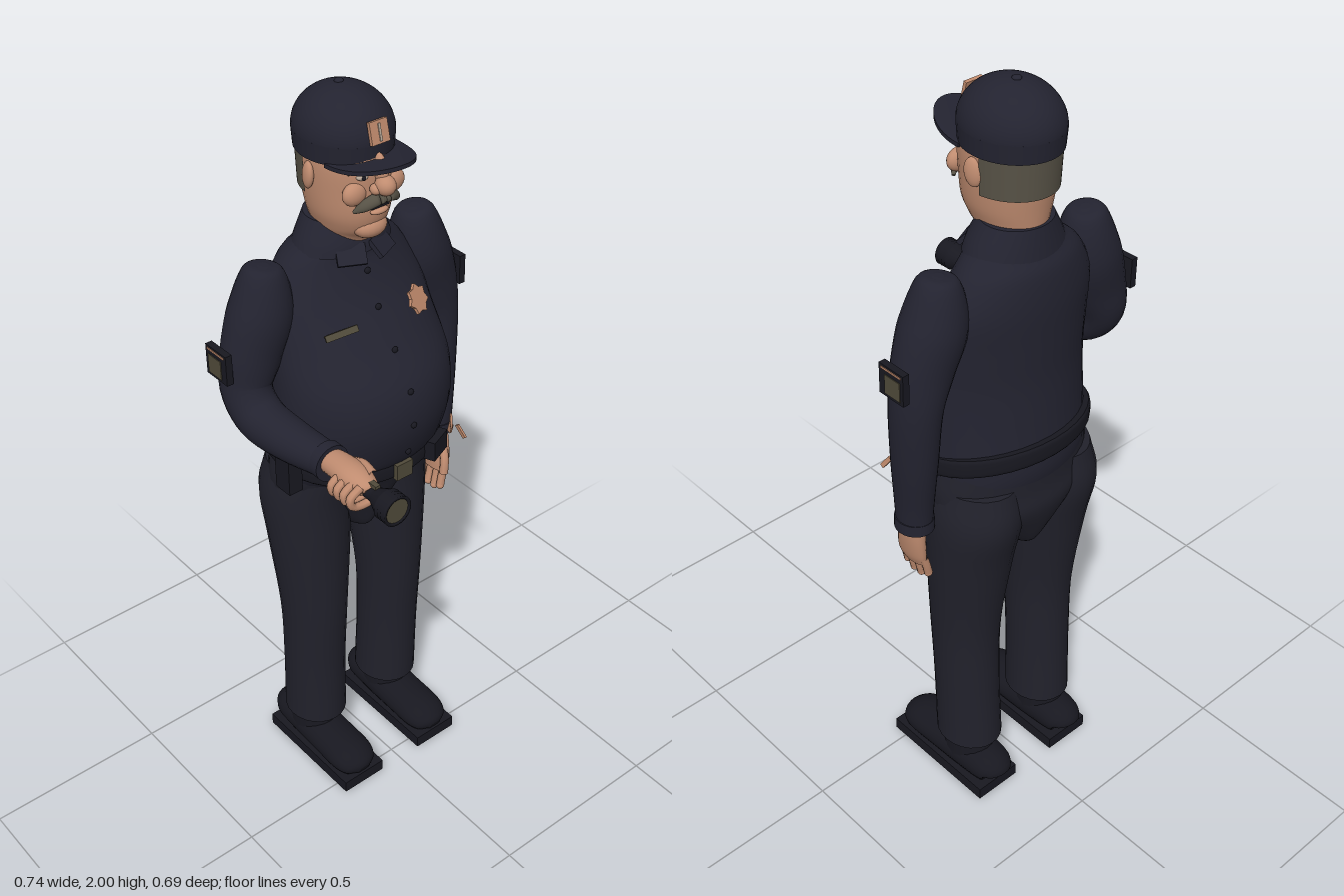
import * as THREE from 'three';

const mat = (name, color, side = THREE.FrontSide) => {
  const m = new THREE.MeshStandardMaterial({ color, side });
  m.name = name;
  return m;
};

// Smooth closed tube through sections [x, y, z, halfWidth, halfDepth]; level keeps rings horizontal
function loft(sections, { level = false, steps = 5, sides = 24 } = {}) {
  const centre = new THREE.CatmullRomCurve3(sections.map(s => new THREE.Vector3(s[0], s[1], s[2])), false, 'catmullrom', 0.5);
  const size = new THREE.CatmullRomCurve3(sections.map(s => new THREE.Vector3(s[3], s[4], 0)), false, 'catmullrom', 0.5);
  const n = (sections.length - 1) * steps, pos = [], idx = [];
  const up = Math.sign(sections[sections.length - 1][1] - sections[0][1]);
  const ring = i => {
    const c = centre.getPoint(i / n), r = size.getPoint(i / n);
    const t = level ? new THREE.Vector3(0, up, 0) : centre.getTangent(i / n);
    const u = new THREE.Vector3(1, 0, 0).addScaledVector(t, -t.x).normalize();
    const v = new THREE.Vector3().crossVectors(t, u);
    for (let j = 0; j < sides; j++) {
      const a = j / sides * Math.PI * 2;
      const p = c.clone().addScaledVector(u, r.x * Math.cos(a)).addScaledVector(v, r.y * Math.sin(a));
      pos.push(p.x, p.y, p.z);
    }
    return c;
  };
  for (let i = 0; i <= n; i++) ring(i);
  for (let i = 0; i < n; i++) for (let j = 0; j < sides; j++) {
    const a = i * sides + j, b = i * sides + (j + 1) % sides;
    idx.push(a, b, b + sides, a, b + sides, a + sides);
  }
  for (const end of [0, n]) {
    const start = pos.length / 3, c = ring(end);
    pos.push(c.x, c.y, c.z);
    for (let j = 0; j < sides; j++) {
      const a = start + j, b = start + (j + 1) % sides;
      idx.push(...(end ? [a, b, start + sides] : [b, a, start + sides]));
    }
  }
  const g = new THREE.BufferGeometry();
  g.setAttribute('position', new THREE.Float32BufferAttribute(pos, 3));
  g.setIndex(idx);
  g.computeVertexNormals();
  return g;
}
// Horizontal section from height, front z, back z and half width
const slice = ([y, front, back, w]) => [0, y, (front + back) / 2, w, (front - back) / 2];
const body = rows => loft(rows.map(slice), { level: true, sides: 36 });

export function createModel() {
  const model = new THREE.Group();
  const shirt = mat('shirt navy', 0x232330), trousers = mat('trouser navy', 0x21212b);
  const black = mat('leather black', 0x181820), skin = mat('skin', 0xc08c70);
  const gold = mat('badge copper', 0xc08a6c), olive = mat('olive metal', 0x504a3a);
  const hairMat = mat('grey hair', 0x575246, THREE.DoubleSide), white = mat('eye pale', 0xb8a898);
  const add = (name, geo, m, p = [0, 0, 0], rot = [0, 0, 0], scale = [1, 1, 1]) => {
    const mesh = new THREE.Mesh(geo, m);
    mesh.name = name;
    mesh.position.set(...p);
    mesh.rotation.set(...rot);
    mesh.scale.set(...scale);
    model.add(mesh);
    return mesh;
  };
  const box = (name, w, h, d, m, p, rot) => add(name, new THREE.BoxGeometry(w, h, d), m, p, rot);
  const ball = (name, rx, ry, rz, m, p, rot) => add(name, new THREE.SphereGeometry(1, 20, 14), m, p, rot, [rx, ry, rz]);
  const tube = (name, pts, r, m) => add(name, new THREE.TubeGeometry(
    new THREE.CatmullRomCurve3(pts.map(p => new THREE.Vector3(...p))), 14, r, 8), m);

  // Torso, collar and pelvis
  add('torso', body([[1, -0.03, -0.315, 0.222], [1.05, 0.02, -0.325, 0.23], [1.1, 0.055, -0.325, 0.235],
    [1.2, 0.083, -0.317, 0.238], [1.3, 0.07, -0.31, 0.235], [1.4, 0.005, -0.31, 0.225], [1.5, -0.06, -0.31, 0.212],
    [1.58, -0.095, -0.3, 0.17], [1.62, -0.1, -0.28, 0.125], [1.65, -0.11, -0.27, 0.095]]), shirt);
  add('collar', body([[1.61, -0.085, -0.285, 0.13], [1.64, -0.09, -0.28, 0.115], [1.685, -0.108, -0.272, 0.088]]), shirt);
  for (const s of [-1, 1]) box('collarPoint', 0.07, 0.012, 0.05, shirt, [s * 0.045, 1.615, -0.09], [0.9, s * 0.3, s * -0.35]);
  add('pelvis', body([[1.08, 0.01, -0.32, 0.228], [1, -0.025, -0.322, 0.232], [0.94, -0.05, -0.328, 0.215],
    [0.87, -0.07, -0.31, 0.13], [0.8, -0.09, -0.28, 0.05], [0.785, -0.12, -0.25, 0.02]]), trousers);
  [[1.12, 0.065], [1.21, 0.085], [1.3, 0.072], [1.39, 0.014], [1.48, -0.047], [1.56, -0.086]].forEach(([y, z]) =>
    ball('shirtButton', 0.008, 0.008, 0.006, black, [0, y, z]));

  // Belt, higher at the back than the front
  const belt = body([[1.065, 0.035, -0.338, 0.236], [1.075, 0.042, -0.343, 0.241], [1.105, 0.042, -0.343, 0.241], [1.115, 0.035, -0.338, 0.236]]);
  const bp = belt.attributes.position;
  for (let i = 0; i < bp.count; i++) bp.setY(i, bp.getY(i) - (bp.getZ(i) + 0.15) * 0.18);
  belt.computeVertexNormals();
  add('belt', belt, black);
  box('beltBuckle', 0.05, 0.045, 0.014, olive, [0, 1.055, 0.046]);
  box('beltPouch', 0.07, 0.055, 0.035, black, [0.12, 1.065, 0.027], [0, 0.4, 0]);
  box('beltPouch', 0.06, 0.05, 0.03, black, [-0.13, 1.065, 0.015], [0, -0.4, 0]);
  box('beltRadio', 0.04, 0.12, 0.055, black, [-0.25, 1.1, -0.09]);
  add('radioAerial', new THREE.CylinderGeometry(0.006, 0.006, 0.06, 8), black, [-0.25, 1.18, -0.1]);
  add('keyRing', new THREE.TorusGeometry(0.018, 0.003, 6, 16), gold, [0.235, 1.045, -0.04], [0, 0.9, 0]);
  for (const k of [0, 1]) box('key', 0.006, 0.04, 0.012, gold, [0.238 + k * 0.01, 1.02, -0.045 + k * 0.03], [0.4 - k, 0, 0.2]);

  // Chest badge and name bar
  const star = new THREE.Shape();
  for (let i = 0; i < 14; i++) {
    const r = i % 2 ? 0.029 : 0.038, a = i / 14 * Math.PI * 2 + Math.PI / 2;
    star[i ? 'lineTo' : 'moveTo'](r * Math.cos(a), r * Math.sin(a));
  }
  add('chestBadge', new THREE.ExtrudeGeometry(star, { depth: 0.008, bevelEnabled: false }), gold, [0.112, 1.46, -0.041], [-0.5, 0.33, 0]);
  box('nameBar', 0.082, 0.016, 0.009, olive, [-0.118, 1.457, -0.038], [-0.5, -0.33, 0]);

  // Legs and shoes
  for (const s of [-1, 1]) {
    add('trouserLeg', loft([[0.122, 1.02, -0.18, 0.1, 0.13], [0.128, 0.92, -0.197, 0.112, 0.13], [0.128, 0.78, -0.185, 0.108, 0.113],
      [0.13, 0.55, -0.172, 0.089, 0.095], [0.13, 0.35, -0.178, 0.083, 0.09], [0.128, 0.145, -0.186, 0.083, 0.093]]
      .map(r => [s * r[0], ...r.slice(1)]), { level: true }), trousers);
    add('shoeAnkle', new THREE.CylinderGeometry(0.056, 0.062, 0.09, 20), black, [s * 0.133, 0.115, -0.19], [0, 0, 0], [1, 1, 1.3]);
    add('shoe', loft([[0, 0.055, -0.308, 0.03, 0.025], [0, 0.068, -0.29, 0.055, 0.045], [0, 0.07, -0.2, 0.062, 0.055], [0, 0.065, -0.1, 0.064, 0.05],
      [0, 0.06, -0.02, 0.064, 0.045], [0, 0.052, 0.02, 0.05, 0.032], [0, 0.045, 0.037, 0.02, 0.015]]), black, [s * 0.133, 0, 0]);
    box('shoeSole', 0.134, 0.035, 0.348, black, [s * 0.133, 0.0175, -0.134]);
  }

  // Arms: the left one hangs, the right one reaches forward
  const shoulder = [[0.225, 1.615, -0.185, 0.012, 0.012], [0.227, 1.6, -0.185, 0.05, 0.05], [0.24, 1.5, -0.185, 0.08, 0.076], [0.273, 1.4, -0.185, 0.077, 0.07]];
  add('leftSleeve', loft([...shoulder, [0.296, 1.3, -0.185, 0.061, 0.066], [0.296, 1.15, -0.177, 0.053, 0.06],
    [0.29, 1.02, -0.166, 0.045, 0.052], [0.288, 0.94, -0.163, 0.041, 0.047]]), shirt);
  add('rightSleeve', loft([...shoulder.map(r => [-r[0], ...r.slice(1)]), [-0.297, 1.315, -0.18, 0.062, 0.066],
    [-0.297, 1.255, -0.125, 0.06, 0.06], [-0.29, 1.245, -0.02, 0.055, 0.052], [-0.274, 1.245, 0.1, 0.043, 0.042]]), shirt);
  add('leftCuff', new THREE.CylinderGeometry(0.046, 0.047, 0.03, 24), shirt, [0.288, 0.955, -0.163], [0, 0, 0], [1, 1, 1.1]);
  add('rightCuff', new THREE.CylinderGeometry(0.047, 0.047, 0.028, 24), shirt, [-0.273, 1.245, 0.102], [Math.PI / 2, 0, 0]);
  for (const s of [-1, 1]) {
    box('sleevePatch', 0.018, 0.08, 0.08, black, [s * 0.36, 1.4, -0.19]);
    box('patchField', 0.004, 0.05, 0.05, olive, [s * 0.369, 1.393, -0.195]);
    box('patchStripe', 0.004, 0.005, 0.066, gold, [s * 0.369, 1.432, -0.19]);
  }

  // Left hand
  add('leftPalm', loft([[0.288, 0.95, -0.16, 0.028, 0.034], [0.287, 0.9, -0.152, 0.025, 0.042],
    [0.281, 0.85, -0.145, 0.022, 0.046], [0.275, 0.82, -0.143, 0.016, 0.043]]), skin);
  [-0.182, -0.157, -0.132, -0.108].forEach((z, i) => {
    const drop = [0.012, 0, 0, 0.012][i];
    tube('leftFinger', [[0.278, 0.84, z], [0.27, 0.8 + drop, z], [0.262, 0.77 + drop, z + 0.002]], 0.011, skin);
    ball('leftFingertip', 0.011, 0.011, 0.011, skin, [0.262, 0.77 + drop, z + 0.002]);
  });
  tube('leftThumb', [[0.282, 0.91, -0.125], [0.27, 0.87, -0.1], [0.262, 0.83, -0.093]], 0.012, skin);

  // Right hand gripping a torch
  add('rightPalm', loft([[-0.272, 1.25, 0.1, 0.032, 0.028], [-0.272, 1.255, 0.14, 0.036, 0.03],
    [-0.274, 1.258, 0.2, 0.039, 0.03], [-0.274, 1.255, 0.245, 0.028, 0.022], [-0.274, 1.252, 0.254, 0.014, 0.012]]), skin);
  [0.178, 0.2, 0.223, 0.246].forEach(z => {
    tube('rightFinger', [[-0.295, 1.265, z], [-0.325, 1.245, z], [-0.318, 1.222, z], [-0.285, 1.213, z], [-0.262, 1.216, z]], 0.01, skin);
    ball('rightFingertip', 0.01, 0.01, 0.01, skin, [-0.262, 1.216, z]);
  });
  tube('rightThumb', [[-0.245, 1.255, 0.14], [-0.242, 1.272, 0.19], [-0.252, 1.275, 0.24]], 0.012, skin);
  const torch = [[0, 0.13], [0.019, 0.13], [0.019, 0.265], [0.022, 0.275], [0.036, 0.305]];
  for (let i = 0; i < 3; i++) torch.push([0.039, 0.31 + i * 0.011], [0.036, 0.316 + i * 0.011]);
  torch.push([0.039, 0.345], [0.032, 0.345], [0.03, 0.336], [0, 0.336]);
  add('torchBody', new THREE.LatheGeometry(torch.map(p => new THREE.Vector2(...p)), 24), black, [-0.27, 1.245, 0], [Math.PI / 2, 0, 0]);
  add('torchLens', new THREE.CylinderGeometry(0.031, 0.031, 0.004, 24), olive, [-0.27, 1.245, 0.341], [Math.PI / 2, 0, 0]);
  box('torchSwitch', 0.014, 0.01, 0.025, olive, [-0.27, 1.27, 0.265]);

  // Head and face
  add('head', body([[1.6, -0.11, -0.26, 0.07], [1.65, -0.085, -0.262, 0.07], [1.68, -0.06, -0.265, 0.08], [1.72, -0.046, -0.27, 0.093],
    [1.78, -0.042, -0.278, 0.101], [1.84, -0.04, -0.28, 0.104], [1.9, -0.05, -0.276, 0.1]]), skin);
  ball('chin', 0.045, 0.03, 0.035, skin, [0, 1.685, -0.078]);
  ball('nose', 0.024, 0.024, 0.026, skin, [0, 1.805, -0.02]);
  ball('noseBridge', 0.014, 0.042, 0.02, skin, [0, 1.835, -0.036], [-0.2, 0, 0]);
  ball('lowerLip', 0.025, 0.008, 0.012, skin, [0, 1.735, -0.042]);
  box('mouth', 0.05, 0.005, 0.008, black, [0, 1.747, -0.041]);
  for (const s of [-1, 1]) {
    ball('nostril', 0.013, 0.013, 0.015, skin, [s * 0.02, 1.798, -0.03]);
    ball('cheek', 0.032, 0.028, 0.02, skin, [s * 0.055, 1.785, -0.062]);
    add('moustache', loft([[0, 1.772, -0.028, 0.01, 0.014], [0.02, 1.773, -0.028, 0.012, 0.015],
      [0.045, 1.76, -0.04, 0.01, 0.013], [0.064, 1.745, -0.055, 0.004, 0.004]].map(r => [r[0] * s, ...r.slice(1)])), hairMat);
    ball('eye', 0.014, 0.007, 0.008, white, [s * 0.042, 1.826, -0.05], [0, s * 0.4, 0]);
    ball('iris', 0.005, 0.006, 0.004, black, [s * 0.042, 1.826, -0.043]);
    tube('eyebrow', [[s * 0.022, 1.85, -0.04], [s * 0.045, 1.855, -0.048], [s * 0.072, 1.838, -0.065]], 0.006, hairMat);
    ball('ear', 0.012, 0.034, 0.022, skin, [s * 0.106, 1.81, -0.163], [0.15, s * 0.3, 0]);
  }
  add('hair', new THREE.CylinderGeometry(0.108, 0.104, 0.11, 32, 3, true, Math.PI * 0.54, Math.PI * 0.92), hairMat,
    [0, 1.815, -0.165], [0, 0, 0], [1, 1, 1.14]);

  // Cap with peak, button and badge
  add('capCrown', new THREE.SphereGeometry(1, 36, 18, 0, Math.PI * 2, 0, Math.PI / 2), shirt, [0, 1.895, -0.168], [0, 0, 0], [0.113, 0.102, 0.127]);
  add('capBand', new THREE.CylinderGeometry(0.113, 0.11, 0.045, 36), shirt, [0, 1.873, -0.168], [0, 0, 0], [1, 1, 1.124]);
  ball('capButton', 0.011, 0.006, 0.011, shirt, [0, 1.997, -0.18]);
  const peak = new THREE.Shape();
  peak.absellipse(0, 0, 0.1, 0.155, 0, Math.PI, false);
  const peakGeo = new THREE.ExtrudeGeometry(peak, { depth: 0.01, bevelEnabled: false, curveSegments: 32 });
  peakGeo.rotateX(Math.PI / 2);
  const pp = peakGeo.attributes.position;
  for (let i = 0; i < pp.count; i++) pp.setY(i, pp.getY(i) - pp.getX(i) ** 2 * 2.5);
  peakGeo.computeVertexNormals();
  add('capPeak', peakGeo, shirt, [0, 1.88, -0.11]);
  box('capBadge', 0.05, 0.052, 0.009, gold, [0, 1.925, -0.043], [-0.24, 0, 0]);
  box('capBadgeCentre', 0.006, 0.04, 0.006, white, [0, 1.925, -0.039], [-0.24, 0, 0]);
  return model;
}
